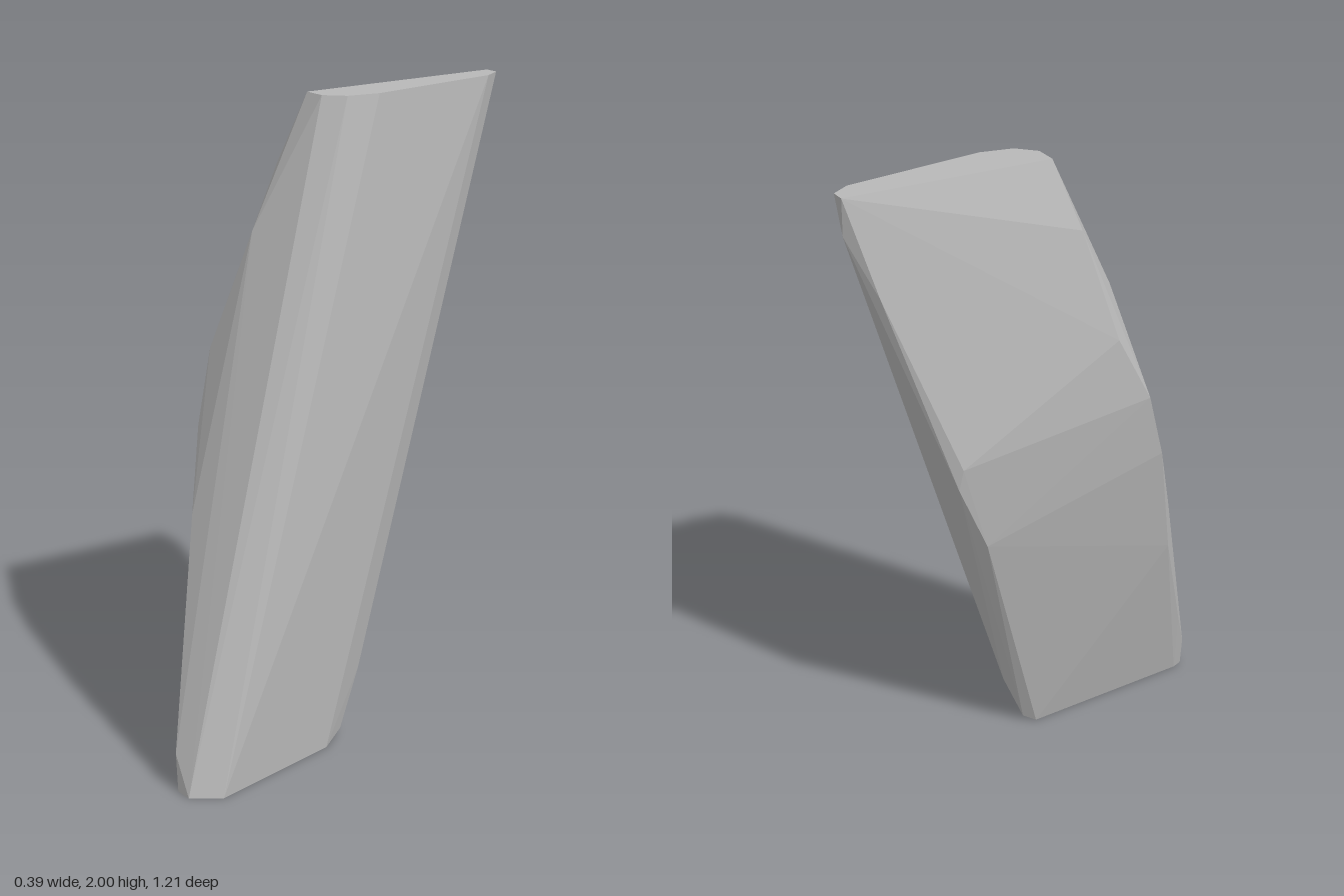
import * as THREE from 'three';
import { ConvexGeometry } from 'three/addons/geometries/ConvexGeometry.js';

export function createModel() {
  const group = new THREE.Group();
  group.name = 'slantedShard';
  const stone = new THREE.MeshStandardMaterial({ color: 0xb8b8b8, flatShading: true });
  stone.name = 'greyStone';

  // Flat top cap, [x, z] at y = 2
  const topCap = [[-0.035, 0.015], [0.03, 0.015], [0.085, -0.035], [0.115, -0.13],
    [0.125, -0.55], [0.1, -0.605], [0.06, -0.605]].map(([x, z]) => [x, 2, z]);
  // Flat foot, [x, z] at y = 0
  const foot = [[0.06, 0.57], [0.07, 0.602], [0.125, 0.605], [0.19, 0.525],
    [0.13, 0.08], [0.067, 0.025]].map(([x, z]) => [x, 0, z]);
  // Bulging front edge, top to bottom
  const frontEdge = [[-0.1, 1.79, 0.075], [-0.1, 1.6, 0.17], [-0.175, 1.45, 0.155],
    [-0.197, 1.24, 0.255], [-0.175, 1.02, 0.32], [-0.1, 0.78, 0.405],
    [-0.1, 0.62, 0.41], [0, 0.25, 0.535], [0.045, 0.11, 0.59]];
  // Chamfered back edge, top to bottom
  const backEdge = [[0.07, 1.88, -0.6], [0, 1.7, -0.53], [-0.12, 1.15, -0.345],
    [-0.11, 1.08, -0.355], [-0.1, 0.85, -0.255], [0.08, 0.2, -0.09], [0.087, 0.02, -0.012]];

  const points = [...topCap, ...foot, ...frontEdge, ...backEdge]
    .map((p) => new THREE.Vector3(...p));
  const shard = new THREE.Mesh(new ConvexGeometry(points), stone);
  shard.name = 'shard';
  group.add(shard);
  return group;
}
